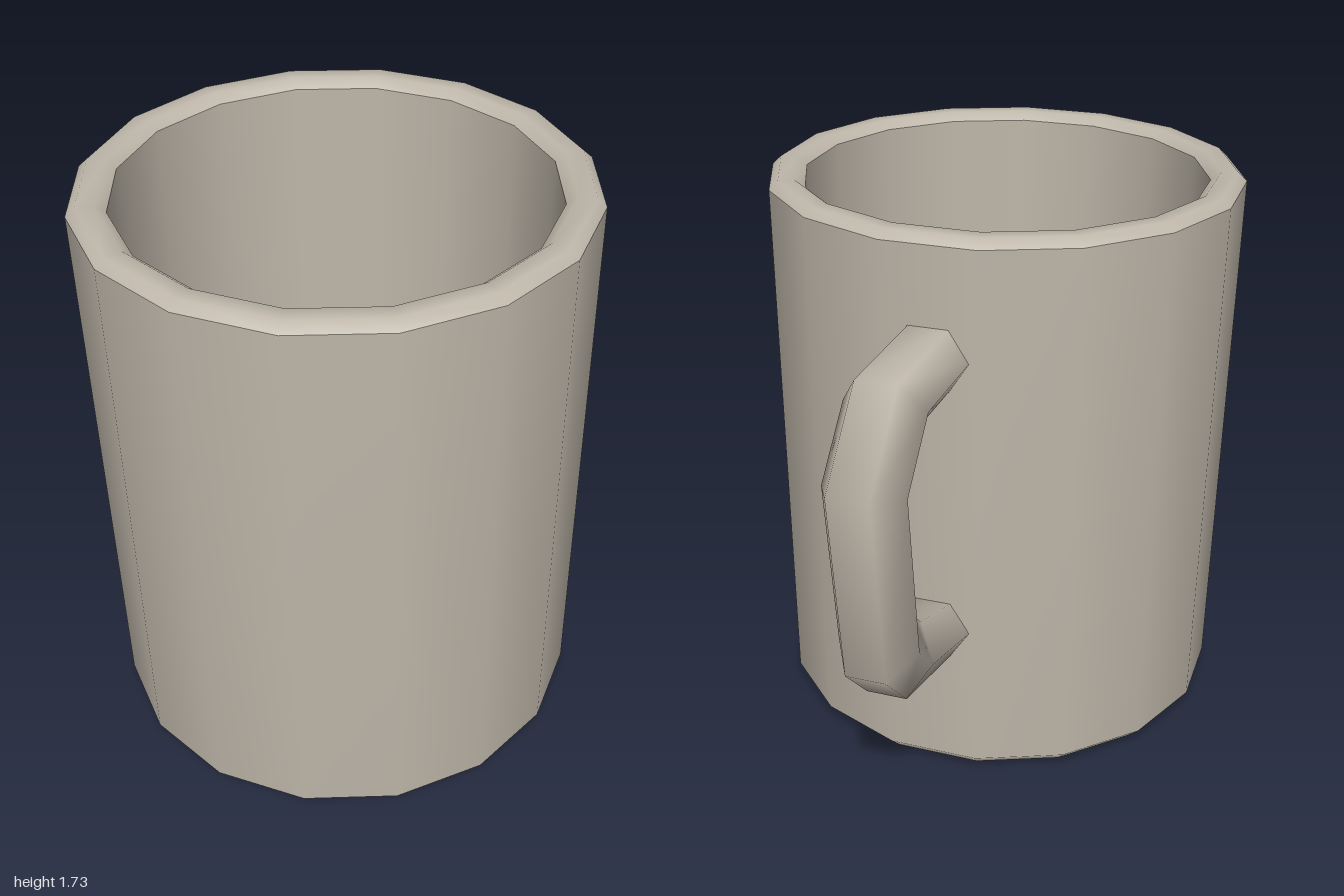
import * as THREE from 'three';

const SIDES = 16;

// Tube with six sides, skinned between pairs of outer and inner outline points [reach, height]
function hexTube(outer, inner, halfWidth) {
  const positions = [], index = [];
  outer.forEach(([ro, yo], i) => {
    const [ri, yi] = inner[i];
    for (let k = 0; k < 6; k++) {
      const a = k * Math.PI / 3;
      const t = Math.sin(a) / Math.sin(Math.PI / 3) / 2;
      positions.push(
        halfWidth * Math.cos(a),
        (yo + yi) / 2 + (yo - yi) * t,
        -((ro + ri) / 2 + (ro - ri) * t),
      );
      if (i === 0) continue;
      const n = (k + 1) % 6, p = (i - 1) * 6, q = i * 6;
      index.push(p + k, q + k, p + n, p + n, q + k, q + n);
    }
  });
  const geometry = new THREE.BufferGeometry();
  geometry.setAttribute('position', new THREE.Float32BufferAttribute(positions, 3));
  geometry.setIndex(index);
  geometry.computeVertexNormals();
  return geometry;
}

export function createModel() {
  const mug = new THREE.Group();
  mug.name = 'mug';
  const stoneware = new THREE.MeshStandardMaterial({ color: 0xbfb7aa });
  stoneware.name = 'warm grey stoneware';

  const add = (name, geometry) => {
    const mesh = new THREE.Mesh(geometry, stoneware);
    mesh.name = name;
    mug.add(mesh);
    return mesh;
  };
  const turned = (name, points) =>
    add(name, new THREE.LatheGeometry(points.map(([r, y]) => new THREE.Vector2(r, y)), SIDES));

  // Cup: separate bands keep the rim and base edges crisp
  turned('base', [[0, 0], [0.66, 0]]);
  turned('outerWall', [[0.66, 0], [0.705, 0.045], [0.719, 1.705]]);
  turned('rim', [[0.719, 1.705], [0.692, 1.73], [0.642, 1.73], [0.612, 1.705]]);
  turned('innerWall', [[0.612, 1.705], [0.599, 0.1]]);
  turned('floor', [[0.599, 0.1], [0, 0.1]]);

  // Handle: leaves the cup through the middle of one back facet
  const handle = add('handle', hexTube(
    [[0.65, 1.47], [1.084, 1.47], [1.295, 1.24], [1.215, 0.66], [1.066, 0.51], [0.65, 0.4]],
    [[0.65, 1.285], [0.964, 1.29], [1.07, 1.18], [1.01, 0.75], [0.944, 0.69], [0.65, 0.58]],
    0.117,
  ));
  handle.rotation.y = Math.PI / SIDES;

  mug.position.z = 0.281;
  const model = new THREE.Group();
  model.add(mug);
  return model;
}
